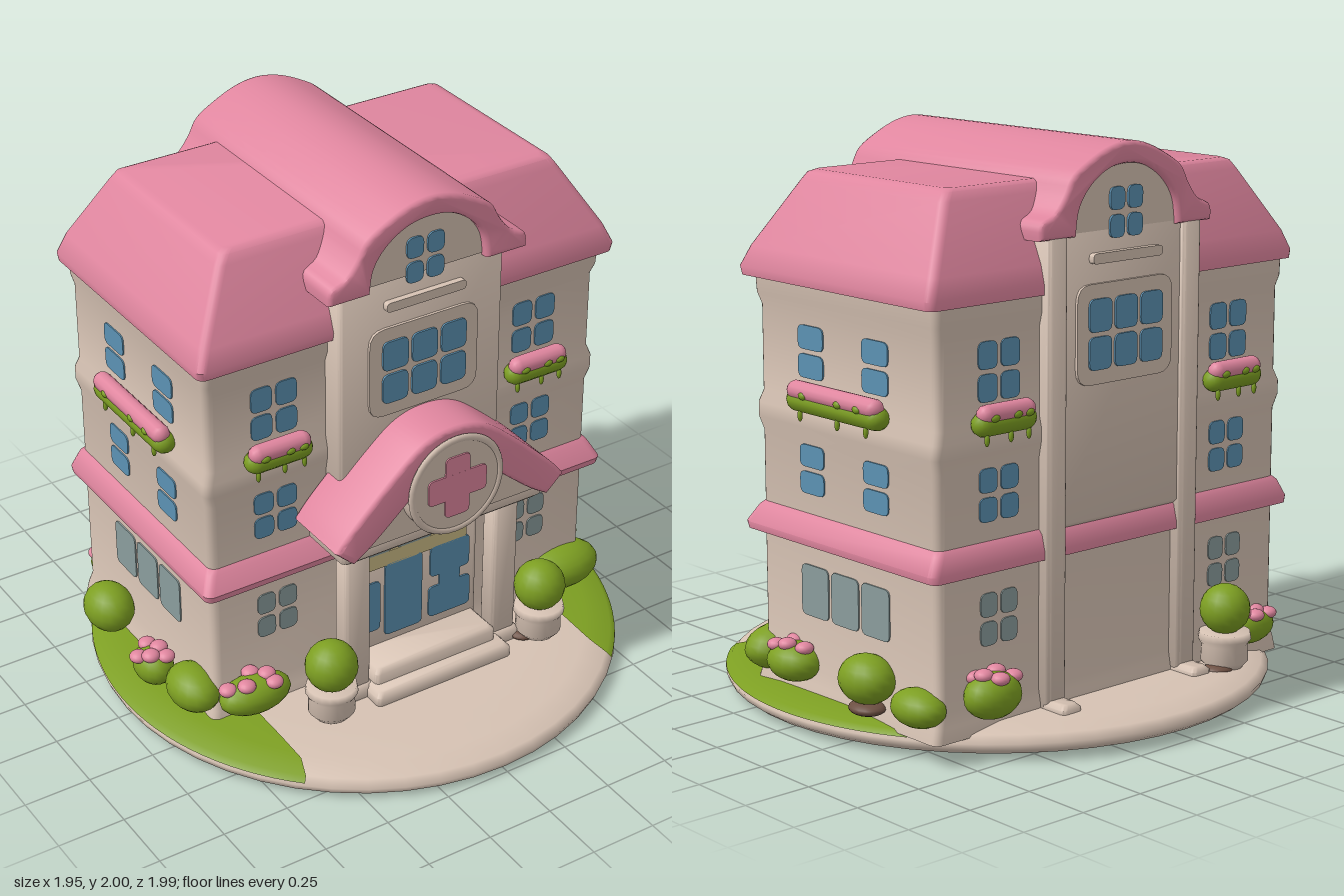
import * as THREE from 'three';
import { toCreasedNormals } from 'three/addons/utils/BufferGeometryUtils.js';

const mat = (name, color) => Object.assign(new THREE.MeshStandardMaterial({ color }), { name });

export function createModel() {
  const plaster = mat('plaster', 0xd6c2b3);
  const pink = mat('pink', 0xe0869f);
  const blue = mat('blueGlass', 0x5c92b3);
  const grey = mat('greyGlass', 0x8b9d9d);
  const green = mat('leafGreen', 0x7d9f22);
  const yellow = mat('paleYellow', 0xcdbc86);
  const brown = mat('soilBrown', 0x6c4f42);

  const root = new THREE.Group();
  root.name = 'house';

  const add = (parent, name, geo, material, x = 0, y = 0, z = 0) => {
    const m = new THREE.Mesh(geo, material);
    m.name = name;
    m.position.set(x, y, z);
    parent.add(m);
    return m;
  };
  const group = (parent, name, x = 0, y = 0, z = 0, ry = 0) => {
    const g = new THREE.Group();
    g.name = name;
    g.position.set(x, y, z);
    g.rotation.y = ry;
    parent.add(g);
    return g;
  };

  // Rounded-rectangle cross-sections [y, halfWidth, zBack, zFront] joined upwards
  const loft = (sections, r = 0.03, crease = 0.7) => {
    const pos = [], idx = [], n = 20;
    for (const [y, hx, z0, z1] of sections) {
      for (let c = 0; c < 4; c++) for (let k = 0; k < 5; k++) {
        const a = (c + k / 4) * Math.PI / 2;
        const sx = c === 0 || c === 3 ? 1 : -1, front = c < 2;
        pos.push(sx * (hx - r) + r * Math.cos(a), y, (front ? z1 - r : z0 + r) + r * Math.sin(a));
      }
    }
    const rows = sections.length, last = (rows - 1) * n;
    for (let i = 0; i < rows - 1; i++) for (let j = 0; j < n; j++) {
      const a = i * n + j, b = i * n + (j + 1) % n;
      idx.push(a, a + n, b, b, a + n, b + n);
    }
    for (let j = 1; j < n - 1; j++) idx.push(0, j, j + 1, last, last + j + 1, last + j);
    const g = new THREE.BufferGeometry();
    g.setAttribute('position', new THREE.Float32BufferAttribute(pos, 3));
    g.setIndex(idx);
    return toCreasedNormals(g, crease);
  };
  const block = (hx, y0, y1, z0, z1, b = 0.015) => loft([
    [y0, hx - b, z0 + b, z1 - b], [y0 + b, hx, z0, z1], [y1 - b, hx, z0, z1], [y1, hx - b, z0 + b, z1 - b]], 0.02, 1);

  // Rounded thin plates, for panes and painted details
  const plate = (w, h, r = 0.02, depth = 0.008) => {
    const s = new THREE.Shape(), x = w / 2, y = h / 2;
    s.moveTo(-x + r, -y).lineTo(x - r, -y).quadraticCurveTo(x, -y, x, -y + r);
    s.lineTo(x, y - r).quadraticCurveTo(x, y, x - r, y);
    s.lineTo(-x + r, y).quadraticCurveTo(-x, y, -x, y - r);
    s.lineTo(-x, -y + r).quadraticCurveTo(-x, -y, -x + r, -y);
    return new THREE.ExtrudeGeometry(s, { depth, bevelEnabled: false, curveSegments: 4 });
  };

  // Symmetrical curved outlines given by the left half, ending on the centre line
  const smoothLine = half => {
    const pts = half.map(([x, y]) => new THREE.Vector2(x, y));
    const right = pts.slice(0, -1).reverse().map(p => new THREE.Vector2(-p.x, p.y));
    return new THREE.SplineCurve([...pts, ...right]).getPoints(48);
  };
  const extrude = (pts, z0, z1, bevel = 0.015) => {
    const g = new THREE.ExtrudeGeometry(new THREE.Shape(pts), {
      depth: z1 - z0 - 2 * bevel, bevelEnabled: bevel > 0, bevelSize: bevel, bevelOffset: -bevel,
      bevelThickness: bevel, bevelSegments: 2 });
    g.translate(0, 0, z0 + bevel);
    return toCreasedNormals(g, 0.8);
  };

  const ball = new THREE.SphereGeometry(1, 18, 12);
  const blob = (parent, name, m, x, y, z, rx, ry = rx, rz = rx) => {
    const b = add(parent, name, ball, m, x, y, z);
    b.scale.set(rx, ry, rz);
    return b;
  };

  // Slightly tilted round base with lawns on both sides
  const base = group(root, 'base', 0, 0.015, 0);
  base.rotation.x = 0.014;
  base.scale.x = 0.98;
  const v = (x, y) => new THREE.Vector2(x, y);
  add(base, 'baseDisc', new THREE.LatheGeometry(
    [v(0.965, 0), v(0.985, 0.015), v(0.995, 0.04), v(0.97, 0.065), v(0.88, 0.085), v(0.7, 0.09), v(0, 0.09)], 48), plaster);
  const underside = add(base, 'underside', new THREE.CircleGeometry(0.967, 48), brown);
  underside.rotation.x = Math.PI / 2;
  for (const s of [-1, 1]) {
    const start = s > 0 ? 0.75 : -2.1;
    const lawn = new THREE.LatheGeometry([v(0.993, 0.05), v(0.973, 0.069), v(0.88, 0.09), v(0.7, 0.095), v(0.6, 0.095)], 24, start, 1.35);
    const p = lawn.attributes.position;
    for (let i = 0; i < p.count; i++) if (Math.abs(p.getX(i)) < 0.64) p.setX(i, s * 0.64);
    add(base, 'lawn', lawn, green);
  }

  // Main body, storey band and mansard roof
  const h = group(root, 'building', 0.03, 0, 0);
  add(h, 'walls', loft([[0.08, 0.82, -0.66, 0.32], [0.13, 0.81, -0.655, 0.31], [0.18, 0.795, -0.645, 0.295],
    [0.98, 0.795, -0.645, 0.295], [1.03, 0.81, -0.655, 0.305], [1.08, 0.81, -0.655, 0.305], [1.12, 0.795, -0.645, 0.295],
    [1.42, 0.795, -0.645, 0.295], [1.46, 0.805, -0.655, 0.31], [1.56, 0.81, -0.655, 0.315]]), plaster);
  add(h, 'storeyBand', loft([[0.62, 0.79, -0.64, 0.3], [0.63, 0.835, -0.675, 0.34], [0.655, 0.84, -0.675, 0.345],
    [0.715, 0.81, -0.66, 0.31], [0.735, 0.79, -0.64, 0.29]]), pink);
  add(h, 'mansardRoof', loft([[1.515, 0.8, -0.64, 0.31], [1.52, 0.84, -0.667, 0.345], [1.55, 0.845, -0.668, 0.35],
    [1.62, 0.815, -0.65, 0.325], [1.84, 0.685, -0.55, 0.215], [1.87, 0.665, -0.535, 0.2], [1.88, 0.64, -0.515, 0.18]]), pink);

  // Central bay with its curved gable
  add(h, 'centralBay', block(0.33, 0.72, 1.74, -0.672, 0.39), plaster);
  add(h, 'entranceWall', block(0.28, 0.08, 0.75, 0.2, 0.355), plaster);
  const arch = [[-0.235, 1.7], [-0.22, 1.79], [-0.17, 1.86], [-0.09, 1.91], [0, 1.925]];
  const bell = [[-0.395, 1.7], [-0.39, 1.755], [-0.33, 1.785], [-0.285, 1.84], [-0.25, 1.9], [-0.18, 1.945], [-0.09, 1.985], [0, 2]];
  add(h, 'gableRoof', extrude([...smoothLine(bell), ...smoothLine(arch).reverse()], -0.695, 0.43), pink);
  add(h, 'gableWall', extrude(smoothLine(arch.map(([x, y]) => [x * 1.02, y + 0.01])), -0.673, 0.395, 0), plaster);
  for (const s of [-1, 1]) {
    add(h, 'backPilaster', block(0.045, 0.08, 1.72, -0.69, -0.6), plaster, s * 0.31);
    add(h, 'pilasterFoot', block(0.045, 0.08, 0.14, -0.77, -0.6), plaster, s * 0.31);
  }

  // Windows: a grid of thin rounded panes
  const addWindow = (face, x, y, w, ht, cols, rows, glass, z = 0) => {
    const g = group(face, 'window', x, y, z);
    const gap = 0.016, pw = (w - gap * (cols - 1)) / cols, ph = (ht - gap * (rows - 1)) / rows;
    for (let c = 0; c < cols; c++) for (let r = 0; r < rows; r++) {
      add(g, 'pane', plate(pw, ph, 0.025), glass, (c - (cols - 1) / 2) * (pw + gap), (r - (rows - 1) / 2) * (ph + gap), 0);
    }
  };

  // Flower box with blossoms and hanging leaves
  const flowerBox = (face, x, half) => {
    const g = group(face, 'flowerBox', x, 1.13, 0.03);
    const leaves = add(g, 'boxLeaves', new THREE.CapsuleGeometry(0.042, 2 * half - 0.084, 4, 12), green);
    const bloom = add(g, 'boxBlossom', new THREE.CapsuleGeometry(0.034, 2 * half - 0.09, 4, 12), pink, 0, 0.033, 0.01);
    leaves.rotation.z = bloom.rotation.z = Math.PI / 2;
    for (const k of [-0.7, 0.1, 0.7]) blob(g, 'hangingLeaf', green, k * half, -0.048, 0.02, 0.009, 0.022, 0.009);
    for (const k of [-0.55, 0.2, 0.6]) blob(g, 'frontLeaf', green, k * half, 0.025, 0.036, 0.02, 0.014, 0.014);
  };

  const fronts = [group(h, 'frontFace', 0, 0, 0.292), group(h, 'backFace', 0, 0, -0.642, Math.PI)];
  for (const face of fronts) for (const s of [-1, 1]) {
    addWindow(face, s * 0.535, 1.295, 0.18, 0.2, 2, 2, blue);
    addWindow(face, s * 0.535, 0.885, 0.17, 0.18, 2, 2, blue);
    addWindow(face, s * 0.535, 0.465, 0.16, 0.18, 2, 2, grey);
    flowerBox(face, s * 0.535, 0.13);
  }
  for (const s of [-1, 1]) {
    const face = group(h, 'sideFace', s * 0.792, 0, -0.165, s * Math.PI / 2);
    for (const t of [-1, 1]) {
      addWindow(face, t * 0.17, 1.29, 0.135, 0.18, 1, 2, blue);
      addWindow(face, t * 0.17, 0.885, 0.13, 0.17, 1, 2, blue);
    }
    addWindow(face, 0, 0.46, 0.47, 0.18, 3, 1, grey);
    flowerBox(face, 0, 0.25);
  }
  const bays = [group(h, 'frontBayFace', 0, 0, 0.388), group(h, 'backBayFace', 0, 0, -0.67, Math.PI)];
  for (const face of bays) {
    add(face, 'windowSurround', plate(0.44, 0.34, 0.06, 0.012), plaster, 0, 1.365, 0);
    addWindow(face, 0, 1.365, 0.34, 0.24, 3, 2, blue, 0.011);
    addWindow(face, 0, 1.765, 0.15, 0.17, 2, 2, blue, 0.006);
    add(face, 'gableSill', plate(0.32, 0.035, 0.015, 0.025), plaster, 0, 1.62, 0);
  }

  // Entrance porch
  const porch = group(h, 'porch', 0.01, 0, 0);
  const eave = [[-0.475, 0.835], [-0.41, 0.91], [-0.24, 1.07], [-0.12, 1.16], [0, 1.185]];
  const soffit = [[-0.405, 0.77], [-0.33, 0.82], [-0.2, 0.93], [-0.1, 1.02], [0, 1.05]];
  add(porch, 'porchRoof', extrude([...smoothLine(eave), ...smoothLine(soffit).reverse()], 0.3, 0.58), pink);
  add(porch, 'pediment', extrude(smoothLine(soffit.map(([x, y]) => [x, y + 0.015])), 0.3, 0.54, 0), plaster);
  add(porch, 'beam', block(0.42, 0.73, 0.82, 0.3, 0.53), plaster);
  const disc = add(porch, 'medallion', new THREE.CylinderGeometry(0.185, 0.195, 0.08, 40), plaster, 0, 0.965, 0.557);
  disc.rotation.x = Math.PI / 2;
  const rim = add(porch, 'medallionRim', new THREE.TorusGeometry(0.182, 0.014, 8, 40), plaster, 0, 0.965, 0.592);
  rim.scale.z = 0.7;
  add(porch, 'crossUpright', plate(0.1, 0.24, 0.02), pink, 0, 0.965, 0.595);
  add(porch, 'crossBar', plate(0.24, 0.1, 0.02), pink, 0, 0.965, 0.5952);
  for (const s of [-1, 1]) {
    add(porch, 'column', block(0.052, 0.08, 0.76, 0.385, 0.47), plaster, s * 0.315);
    add(porch, 'columnFoot', block(0.065, 0.08, 0.15, 0.375, 0.485), plaster, s * 0.315);
  }
  add(porch, 'upperStep', block(0.26, 0.08, 0.2, 0.3, 0.5), plaster);
  add(porch, 'lowerStep', block(0.29, 0.08, 0.145, 0.3, 0.56), plaster);

  // Door panes [x, width, y, height] and transom
  const door = group(h, 'door', 0, 0, 0.353);
  for (const [x, w, y, ht] of [[-0.195, 0.1, 0.375, 0.21], [-0.045, 0.16, 0.385, 0.31], [0.155, 0.18, 0.3, 0.13],
    [0.155, 0.17, 0.475, 0.13], [0.155, 0.09, 0.385, 0.1]])
    add(door, 'doorPane', plate(w, ht), blue, x, y, 0);
  for (const x of [-0.175, 0, 0.175]) add(door, 'transomPane', plate(0.155, 0.08), grey, x, 0.635, 0);
  add(door, 'transomStrip', plate(0.47, 0.06, 0.015), yellow, -0.01, 0.565, 0);
  add(door, 'transomEdge', plate(0.15, 0.018, 0.006), yellow, -0.175, 0.685, 0);

  // Potted round trees with soil around the foot
  const potProfile = [v(0, 0), v(0.06, 0), v(0.085, 0.03), v(0.082, 0.09), v(0.095, 0.11), v(0.09, 0.135), v(0, 0.135)];
  for (const [x, z, r] of [[-0.41, 0.5, 0.095], [0.49, 0.5, 0.095], [-0.43, -0.73, 0.09]]) {
    const t = group(root, 'pottedTree', x, 0.1, z);
    add(t, 'pot', new THREE.LatheGeometry(potProfile, 20), plaster);
    blob(t, 'soil', brown, -Math.sign(x) * 0.05, 0.01, -0.02, 0.055, 0.02, 0.05);
    blob(t, 'treeCrown', green, 0, 0.215, 0, r);
  }

  // Bushes [x, y, z, rx, ry, rz, has blossoms]
  const bushes = [
    [0.87, 0.24, -0.33, 0.09, 0.085, 0.11, 0], [0.85, 0.2, 0.09, 0.09, 0.07, 0.11, 1], [0.74, 0.19, 0.29, 0.16, 0.085, 0.11, 0],
    [0.84, 0.19, -0.56, 0.08, 0.065, 0.11, 0], [0.63, 0.22, -0.69, 0.11, 0.08, 0.08, 1],
    [-0.84, 0.22, -0.35, 0.09, 0.09, 0.11, 0], [-0.86, 0.2, 0.02, 0.07, 0.07, 0.09, 1], [-0.8, 0.19, 0.2, 0.09, 0.08, 0.12, 0],
    [-0.64, 0.2, 0.36, 0.14, 0.07, 0.08, 1], [-0.64, 0.19, -0.66, 0.11, 0.06, 0.05, 1]];
  for (const [x, y, z, rx, ry, rz, bloom] of bushes) {
    blob(root, 'bush', green, x, y, z, rx, ry, rz);
    if (!bloom) continue;
    for (let i = 0; i < 5; i++) {
      const a = i * 2.4, k = 0.35 + 0.1 * i;
      blob(root, 'blossom', pink, x + rx * k * Math.cos(a), y + ry * Math.sqrt(1 - k * k), z + rz * k * Math.sin(a), 0.033, 0.022, 0.033);
    }
  }
  blob(root, 'bushSoil', brown, 0.87, 0.14, -0.33, 0.06, 0.025, 0.07);
  return root;
}
